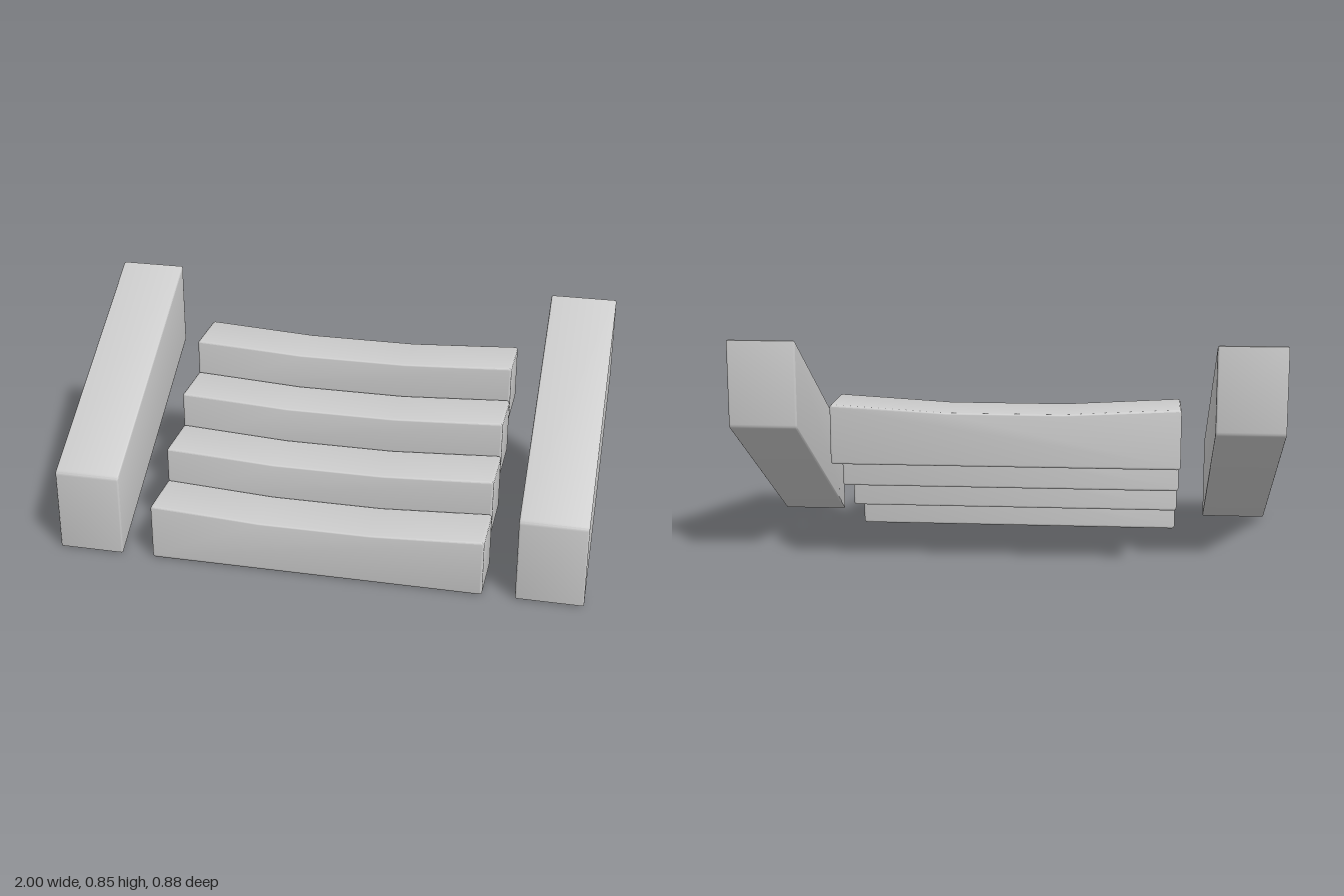
import * as THREE from 'three';
import { toCreasedNormals } from 'three/addons/utils/BufferGeometryUtils.js';

const material = new THREE.MeshStandardMaterial({ color: 0xcccccc });
const BEVEL = 0.007;

// Closed outline; sharp corners are rounded, shallow bends are kept as they are
function roundedShape(corners, radius) {
  const pts = corners.map(([x, y]) => new THREE.Vector2(x, y));
  const shape = new THREE.Shape();
  pts.forEach((p, i) => {
    const toPrev = pts.at(i - 1).clone().sub(p).normalize();
    const toNext = pts[(i + 1) % pts.length].clone().sub(p).normalize();
    const sharp = toPrev.dot(toNext) > -0.9;
    const a = sharp ? p.clone().addScaledVector(toPrev, radius) : p;
    if (i === 0) shape.moveTo(a.x, a.y);
    else shape.lineTo(a.x, a.y);
    if (sharp) {
      const b = p.clone().addScaledVector(toNext, radius);
      shape.quadraticCurveTo(p.x, p.y, b.x, b.y);
    }
  });
  shape.closePath();
  return shape;
}

// Softly bevelled slab, centred along its depth
function slab(corners, depth) {
  const geometry = new THREE.ExtrudeGeometry(roundedShape(corners, 0.012), {
    depth: depth - 2 * BEVEL,
    curveSegments: 3,
    bevelThickness: BEVEL,
    bevelSize: BEVEL,
    bevelOffset: -BEVEL,
    bevelSegments: 3,
  });
  geometry.translate(0, 0, BEVEL - depth / 2);
  return geometry;
}

export function createModel() {
  const group = new THREE.Group();

  // Four identical treads, dished in the middle
  const treadGeometry = toCreasedNormals(slab([
    [-0.63, 0], [0.63, 0], [0.63, 0.22],
    [0.21, 0.196], [-0.21, 0.196], [-0.63, 0.22],
  ], 0.217), 0.7);
  for (let i = 0; i < 4; i++) {
    const step = new THREE.Mesh(treadGeometry, material);
    step.name = `step${i + 1}`;
    step.position.set(0, 0.003 + i * 0.1325, 0.331 - i * 0.2205);
    group.add(step);
  }

  // Sloping side walls with upright ends
  const wallGeometry = toCreasedNormals(slab([
    [0.44, 0], [0.44, 0.325], [-0.44, 0.855], [-0.44, 0.53],
  ], 0.25).rotateY(-Math.PI / 2), 0.7);
  for (const side of [-1, 1]) {
    const wall = new THREE.Mesh(wallGeometry, material);
    wall.name = side > 0 ? 'leftSideWall' : 'rightSideWall';
    wall.position.x = side * 0.875;
    group.add(wall);
  }

  return group;
}
